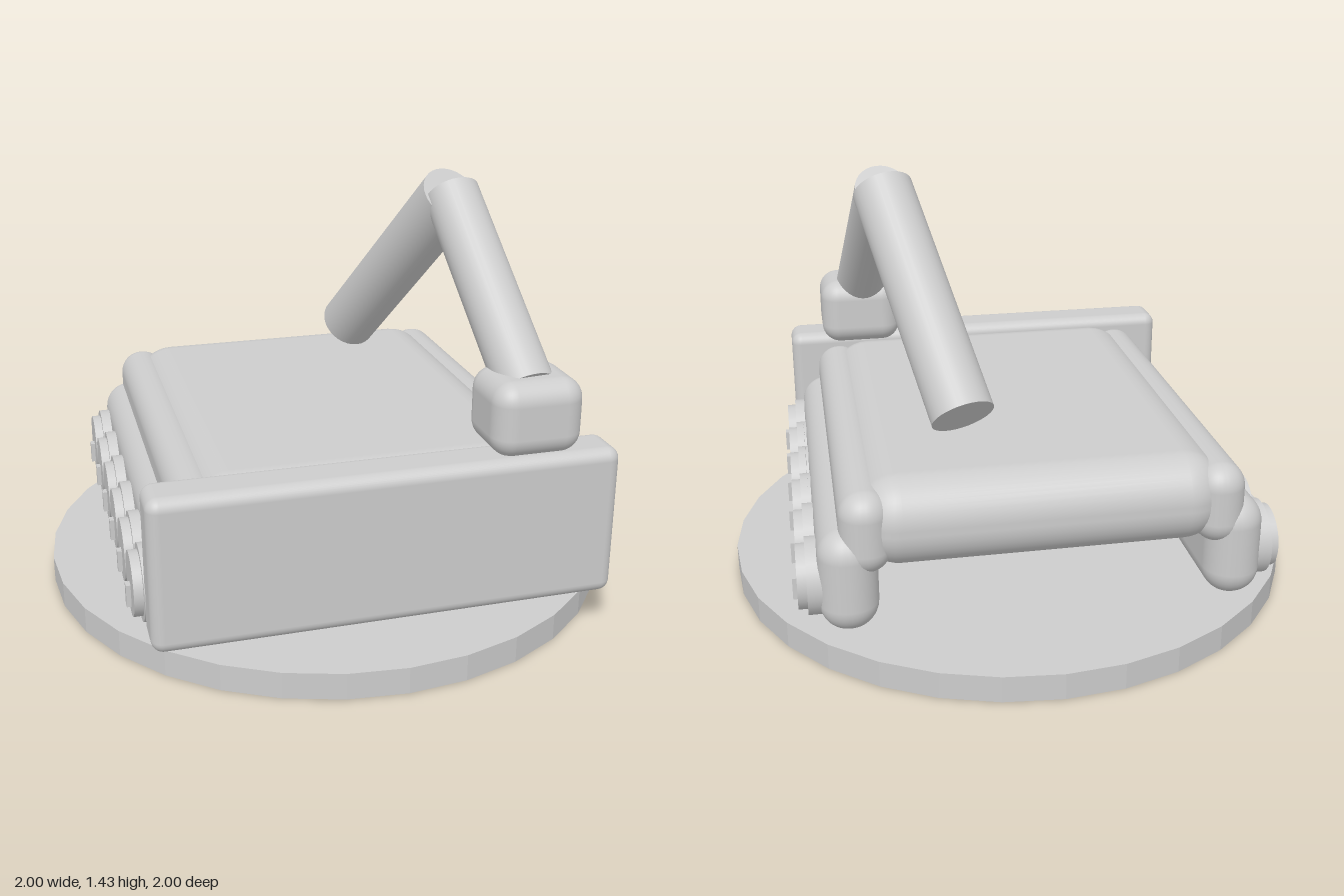
import * as THREE from 'three';
import { RoundedBoxGeometry } from 'three/addons/geometries/RoundedBoxGeometry.js';

export function createModel() {
  const model = new THREE.Group();
  const grey = new THREE.MeshStandardMaterial({ color: 0xcccccc });
  grey.name = 'grey';
  const greyFlat = grey.clone();
  greyFlat.flatShading = true;
  const greyThin = grey.clone();
  greyThin.side = THREE.DoubleSide;

  const add = (name, geometry, material = grey, parent = model) => {
    const mesh = new THREE.Mesh(geometry, material);
    mesh.name = name;
    parent.add(mesh);
    return mesh;
  };

  // Rounded box given by its lower and upper corners
  const block = (name, lo, hi, radius) => {
    const size = hi.map((v, i) => v - lo[i]);
    const mesh = add(name, new RoundedBoxGeometry(...size, 5, radius));
    mesh.position.set(...hi.map((v, i) => (v + lo[i]) / 2));
    return mesh;
  };

  // Cylinder between two points
  const rod = (name, from, to, radius) => {
    const a = new THREE.Vector3(...from), b = new THREE.Vector3(...to);
    const mesh = add(name, new THREE.CylinderGeometry(radius, radius, a.distanceTo(b), 32));
    mesh.position.copy(a).add(b).multiplyScalar(0.5);
    mesh.quaternion.setFromUnitVectors(new THREE.Vector3(0, 1, 0), b.sub(a).normalize());
    return mesh;
  };

  // Round display base
  add('base', new THREE.CylinderGeometry(1, 1, 0.09, 32), greyFlat).position.y = 0.045;

  // Hull and front plough
  block('hull', [-0.6, 0.33, -0.76], [0.6, 0.63, 0.74], 0.14);
  block('frontPlate', [-0.757, 0.145, 0.66], [0.757, 0.655, 0.83], 0.04);

  // Running gear, mirrored on both sides
  const disc = new THREE.CylinderGeometry(0.125, 0.125, 0.07, 32).rotateZ(Math.PI / 2);
  const cap = new THREE.CylinderGeometry(0.105, 0.105, 0.04, 32).rotateZ(Math.PI / 2);
  const key = new THREE.BoxGeometry(0.03, 0.075, 0.03);
  for (const s of [1, -1]) {
    const side = s > 0 ? 'left' : 'right';
    const span = (a, b) => (s > 0 ? [a, b] : [-b, -a]);
    const [f0, f1] = span(0.49, 0.655);
    block(side + 'Fender', [f0, 0.33, -0.757], [f1, 0.605, 0.72], 0.08);
    const [t0, t1] = span(0.535, 0.725);
    block(side + 'Track', [t0, 0.13, -0.757], [t1, 0.48, 0.72], 0.092);
    for (let i = 0; i < 6; i++) {
      const wheel = new THREE.Group();
      wheel.name = side + 'Wheel';
      wheel.position.set(0, 0.275, 0.59 - i * 0.235);
      add('wheelDisc', disc, grey, wheel).position.x = s * 0.725;
      add('wheelCap', cap, grey, wheel).position.x = s * 0.77;
      add('wheelKey', key, grey, wheel).position.set(s * 0.79, -0.0375, 0);
      model.add(wheel);
    }
  }

  // Flat five-pointed star on the left side
  const star = new THREE.Shape();
  for (let i = 0; i < 10; i++) {
    const r = i % 2 ? 0.061 : 0.16;
    const a = Math.PI / 2 + (i * Math.PI) / 5;
    star[i ? 'lineTo' : 'moveTo'](r * Math.cos(a), r * Math.sin(a));
  }
  const plate = add('star', new THREE.ShapeGeometry(star), greyThin);
  plate.rotation.y = Math.PI / 2;
  plate.position.set(0.735, 0.48, -0.115);

  // Jointed arm on its mount
  block('armMount', [0.33, 0.645, 0.545], [0.632, 0.893, 0.82], 0.07);
  const elbow = [0.415, 1.354, 0.137];
  rod('upperArm', [0.477, 0.837, 0.68], elbow, 0.095);
  rod('forearm', elbow, [0.23, 0.735, -0.465], 0.106);

  return model;
}
